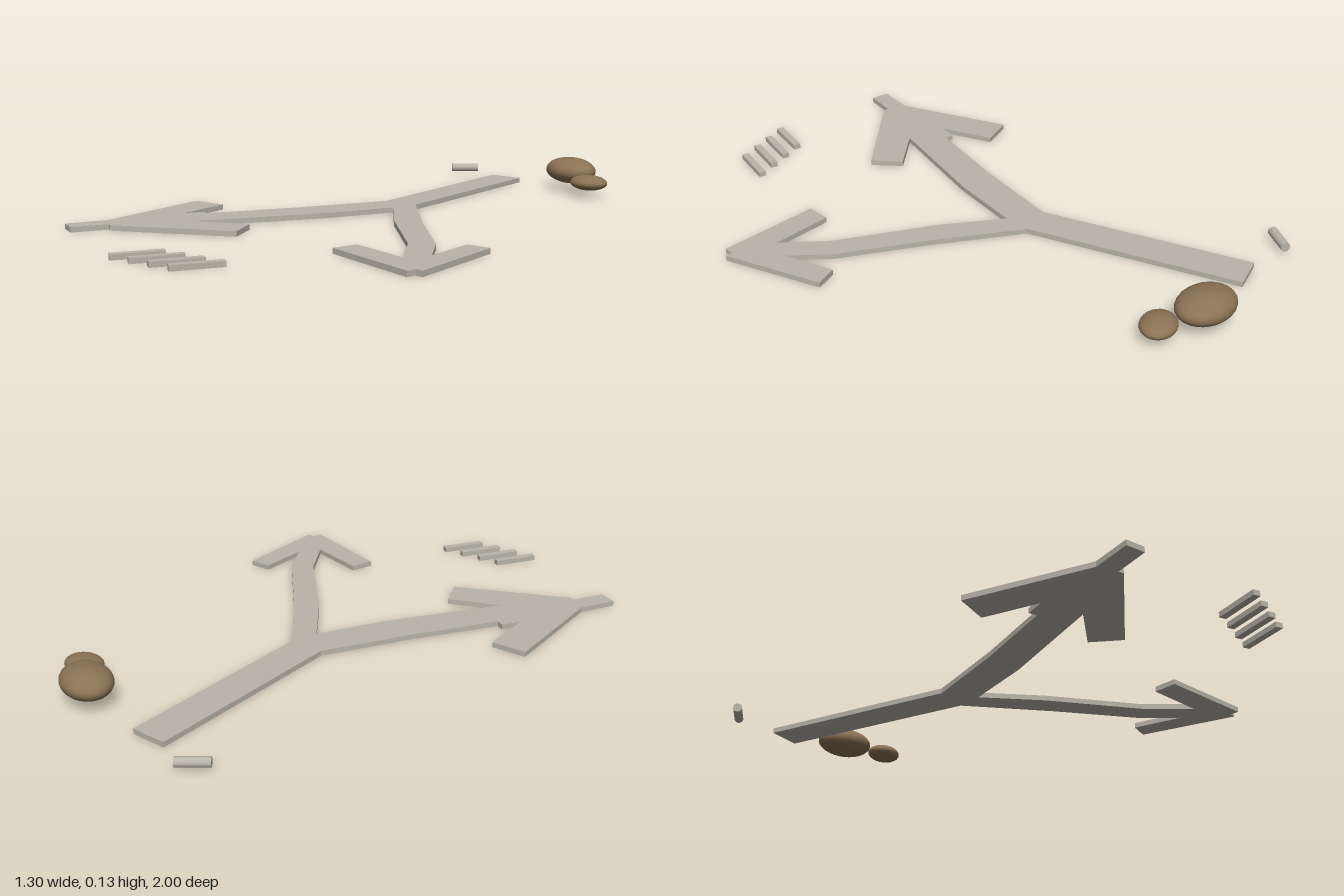
import * as THREE from 'three';

const THICK = 0.018;

// Flat slab lying on the ground from an outline of [x, z] points
function slab(name, outline, material) {
  const shape = new THREE.Shape(outline.map(([x, z]) => new THREE.Vector2(x, -z)));
  const geo = new THREE.ExtrudeGeometry(shape, { depth: THICK, bevelEnabled: false });
  geo.rotateX(-Math.PI / 2);
  const mesh = new THREE.Mesh(geo, material);
  mesh.name = name;
  return mesh;
}

export function createModel() {
  const model = new THREE.Group();
  model.name = 'forkedPath';
  const stone = new THREE.MeshStandardMaterial({ name: 'pale stone', color: 0xb8b4a8 });
  const brown = new THREE.MeshStandardMaterial({ name: 'earth brown', color: 0x8b7355 });

  // Forked path: trunk, then two branches ending in arrowheads
  const trunk = [[-0.035, -0.175], [-0.015, -0.91], [0.11, -0.905], [0.09, -0.17]];
  const leftBranch = [
    [0.293, 0.1], [0.49, 0.34], [0.56, 0.475], [0.57, 0.295], [0.65, 0.295],
    [0.64, 0.65], [0.615, 0.645], [0.605, 0.675], [0.27, 0.56], [0.3, 0.48],
    [0.505, 0.545], [0.42, 0.385], [0.19, 0.115], [0.055, -0.08],
  ];
  const rightBranch = [
    [-0.08, 0.145], [-0.34, 0.495], [-0.16, 0.43], [-0.12, 0.54], [-0.515, 0.7],
    [-0.53, 0.69], [-0.595, 0.795], [-0.655, 0.765], [-0.585, 0.645], [-0.59, 0.215],
    [-0.465, 0.215], [-0.465, 0.415], [-0.425, 0.355], [-0.4, 0.37], [-0.215, 0.11],
  ];
  model.add(slab('path', [...trunk, ...leftBranch, ...rightBranch], stone));

  // Row of slanted strips in front
  const strips = new THREE.Group();
  strips.name = 'strips';
  for (let i = 0; i < 4; i++) {
    const strip = slab('strip', [[-0.22, 0.985], [-0.2, 1], [-0.108, 0.865], [-0.128, 0.85]], stone);
    strip.position.x = i * 0.078;
    strips.add(strip);
  }
  model.add(strips);

  // Short round post lying behind
  const postGeo = new THREE.CylinderGeometry(0.016, 0.016, 0.106, 16);
  postGeo.rotateZ(Math.PI / 2);
  const post = new THREE.Mesh(postGeo, stone);
  post.name = 'lyingPost';
  post.position.set(-0.17, 0.03, -0.953);
  post.rotation.y = 0.63;
  model.add(post);

  // Two flattened boulders
  const boulders = [
    ['largeBoulder', [0.357, 0.078, -0.85], [0.108, 0.049, 0.082], -0.44],
    ['smallBoulder', [0.48, 0.055, -0.745], [0.07, 0.028, 0.057], 0],
  ];
  for (const [name, pos, radii, turn] of boulders) {
    const boulder = new THREE.Mesh(new THREE.SphereGeometry(1, 24, 16), brown);
    boulder.name = name;
    boulder.position.set(...pos);
    boulder.scale.set(...radii);
    boulder.rotation.y = turn;
    model.add(boulder);
  }
  return model;
}
